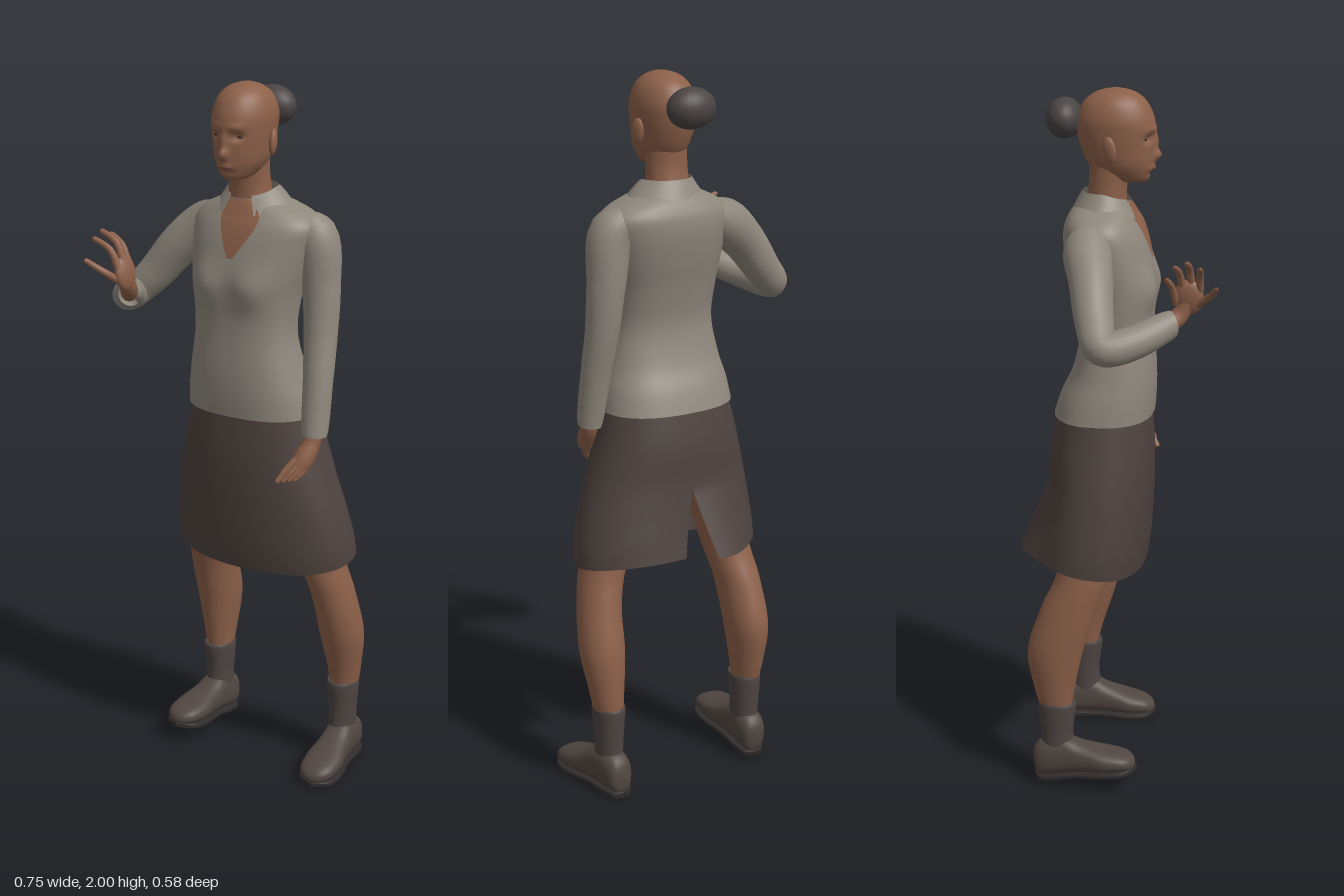
import * as THREE from 'three';

const paint = (name, color, side = THREE.FrontSide) => {
  const m = new THREE.MeshStandardMaterial({ color, side });
  m.name = name;
  return m;
};

// Catmull-Rom blend through rows of numbers
function smooth(rows, steps) {
  const out = [], last = rows.length - 1;
  for (let i = 0; i <= last * steps; i++) {
    const k = Math.min(Math.floor(i / steps), last - 1), t = i / steps - k;
    const [a, b, c, d] = [-1, 0, 1, 2].map(o => rows[Math.min(last, Math.max(0, k + o))]);
    out.push(b.map((_, n) => b[n] + 0.5 * t * (c[n] - a[n]
      + t * (2 * a[n] - 5 * b[n] + 4 * c[n] - d[n] + t * (3 * (b[n] - c[n]) + d[n] - a[n])))));
  }
  return out;
}

// Skin over rising oval sections [y, centreX, radiusX, frontZ, backZ].
// range(y) gives start and end angle for open pieces; warp moves each point.
function loft(rows, { seg = 40, power = 2, range, warp } = {}) {
  const pos = [], index = [], cols = range ? seg + 1 : seg;
  const bend = v => Math.sign(v) * Math.pow(Math.abs(v), 2 / power);
  rows.forEach(([y, cx, rx, zf, zb], i) => {
    const [a0, a1] = range ? range(y) : [0, Math.PI * 2];
    for (let j = 0; j < cols; j++) {
      const a = a0 + (a1 - a0) * j / seg;
      const p = new THREE.Vector3(cx + rx * bend(Math.cos(a)), y,
        (zf + zb) / 2 + (zf - zb) / 2 * bend(Math.sin(a)));
      if (warp) warp(p, a);
      pos.push(p.x, p.y, p.z);
      if (i && j < seg) {
        const n = (j + 1) % cols, d = (i - 1) * cols, u = i * cols;
        index.push(d + j, u + j, d + n, d + n, u + j, u + n);
      }
    }
  });
  const g = new THREE.BufferGeometry();
  g.setAttribute('position', new THREE.Float32BufferAttribute(pos, 3));
  g.setIndex(index);
  g.computeVertexNormals();
  return g;
}

// Round limb through points [x, y, z, radius]
function limb(points, seg = 16, steps = 6) {
  const curve = new THREE.CatmullRomCurve3(points.map(([x, y, z]) => new THREE.Vector3(x, y, z)));
  curve.getPointAt = curve.getPoint;
  curve.getTangentAt = curve.getTangent;
  const n = (points.length - 1) * steps, radii = smooth(points.map(p => [p[3]]), steps);
  const g = new THREE.TubeGeometry(curve, n, 1, seg, false), pos = g.attributes.position;
  const v = new THREE.Vector3();
  for (let i = 0; i <= n; i++) {
    const c = curve.getPoint(i / n);
    for (let j = 0; j <= seg; j++) {
      const k = i * (seg + 1) + j;
      v.fromBufferAttribute(pos, k).sub(c).multiplyScalar(Math.max(0.0005, radii[i][0])).add(c);
      pos.setXYZ(k, v.x, v.y, v.z);
    }
  }
  return g;
}

const bell = v => Math.exp(-v * v);
const bump = (x, y, cx, cy, sx, sy) => bell((x - cx) / sx) * bell((y - cy) / sy);

export function createModel() {
  const model = new THREE.Group();
  const skin = paint('skin', 0x8c6049), shirt = paint('shirt cloth', 0x8e877c, THREE.DoubleSide);
  const skirt = paint('skirt cloth', 0x4d423e, THREE.DoubleSide), hair = paint('hair', 0x4a4443);
  const sock = paint('sock', 0x4d4542), shoe = paint('shoe leather', 0x514741);
  const sole = paint('sole', 0x322d2c), lip = paint('lips', 0x774c3e), eye = paint('eye', 0x3a2b25);
  const add = (name, geometry, material, parent = model) => {
    const m = new THREE.Mesh(geometry, material);
    m.name = name;
    parent.add(m);
    return m;
  };
  const ball = (name, material, [x, y, z], [a, b, c]) => {
    const m = add(name, new THREE.SphereGeometry(1, 24, 16), material);
    m.position.set(x, y, z);
    m.scale.set(a, b, c);
    return m;
  };

  // Head, with the face shaped by soft bumps
  const mid = 0.038;
  add('head', loft(smooth([
    [1.744, mid, 0.001, 0.045, 0.043], [1.75, mid, 0.032, 0.07, -0.02], [1.77, mid, 0.053, 0.08, -0.07],
    [1.80, mid, 0.069, 0.086, -0.095], [1.84, mid, 0.077, 0.089, -0.112], [1.88, mid, 0.082, 0.092, -0.122],
    [1.92, mid, 0.083, 0.089, -0.123], [1.96, mid, 0.071, 0.071, -0.106], [1.985, mid, 0.049, 0.044, -0.078],
    [1.997, mid, 0.022, 0.012, -0.045], [2.0, mid, 0.001, -0.014, -0.016]], 7), {
    seg: 80,
    warp: (p, a) => {
      if (Math.sin(a) <= 0.2) return;
      const x = Math.abs(p.x - mid), y = p.y;
      p.z += 0.02 * bump(x, y, 0, 1.82, 0.013, 0.016) + 0.01 * bump(x, y, 0, 1.855, 0.01, 0.025)
        - 0.012 * bump(x, y, 0.033, 1.868, 0.017, 0.012) + 0.005 * bump(x, y, 0.03, 1.893, 0.025, 0.01)
        + 0.008 * bump(x, y, 0, 1.787, 0.021, 0.01) - 0.004 * bump(x, y, 0, 1.772, 0.02, 0.006);
    },
  }), skin);
  for (const s of [-1, 1]) {
    ball('ear', skin, [mid + s * 0.083, 1.845, -0.025], [0.011, 0.036, 0.02]).rotation.set(-0.15, s * 0.35, 0);
    ball('eye', eye, [mid + s * 0.033, 1.867, 0.067], [0.013, 0.005, 0.005]);
  }
  ball('lips', lip, [mid, 1.786, 0.088], [0.02, 0.006, 0.0055]);
  ball('hairBun', hair, [0.036, 1.917, -0.157], [0.071, 0.056, 0.051]);
  add('neck', loft(smooth([[1.62, 0.045, 0.075, 0.02, -0.11], [1.69, 0.04, 0.062, 0.014, -0.1],
    [1.75, 0.038, 0.058, 0.016, -0.09], [1.81, 0.038, 0.058, 0.03, -0.09]], 5)), skin);

  // Shirt body, open neckline and collar
  const chest = (p, a) => {
    if (Math.sin(a) > 0) p.z += 0.02 * bump(Math.abs(p.x - 0.045), p.y, 0.075, 1.455, 0.06, 0.055);
  };
  const body = smooth([
    [1.09, 0.055, 0.194, 0.092, -0.19], [1.15, 0.052, 0.184, 0.096, -0.17], [1.22, 0.048, 0.166, 0.096, -0.137],
    [1.32, 0.045, 0.148, 0.09, -0.117], [1.42, 0.045, 0.155, 0.088, -0.13], [1.50, 0.05, 0.17, 0.086, -0.148],
    [1.57, 0.055, 0.183, 0.072, -0.16], [1.62, 0.06, 0.188, 0.054, -0.16], [1.65, 0.058, 0.165, 0.038, -0.15],
    [1.672, 0.052, 0.12, 0.027, -0.135], [1.69, 0.045, 0.07, 0.018, -0.115]], 6);
  add('shirtBody', loft(body, { seg: 64, power: 2.4, warp: chest }), shirt);
  const neckline = body.filter(r => r[0] > 1.53).map(([y, cx, rx, zf, zb]) => [y, cx, rx, zf + 0.004, zb]);
  add('necklineSkin', loft(neckline, {
    seg: 10, power: 2.4, warp: chest,
    range: y => { const h = 0.01 + (y - 1.53) * 2.4; return [Math.PI / 2 - h, Math.PI / 2 + h]; },
  }), skin);
  add('collar', loft([[1.672, 0.052, 0.112, 0.05, -0.137], [1.7, 0.05, 0.09, 0.035, -0.122],
    [1.72, 0.046, 0.073, 0.022, -0.11]], {
    range: () => [Math.PI / 2 + 0.45, Math.PI * 2.5 - 0.45],
    warp: (p, a) => { p.y -= 0.022 * Math.max(0, Math.sin(a)); },
  }), shirt);

  // Sleeves: left hangs, right is bent forward
  add('leftSleeve', limb([[0.17, 1.62, -0.07, 0.035], [0.228, 1.595, -0.07, 0.061], [0.25, 1.45, -0.072, 0.053],
    [0.257, 1.32, -0.06, 0.047], [0.265, 1.2, -0.037, 0.042], [0.27, 1.045, -0.012, 0.035],
    [0.27, 1.043, -0.012, 0.001]], 24), shirt);
  add('rightSleeve', limb([[-0.05, 1.615, -0.075, 0.04], [-0.12, 1.585, -0.075, 0.065], [-0.2, 1.52, -0.055, 0.06],
    [-0.28, 1.425, -0.035, 0.052], [-0.33, 1.372, -0.01, 0.046], [-0.305, 1.38, 0.06, 0.046],
    [-0.22, 1.418, 0.165, 0.035], [-0.219, 1.418, 0.167, 0.001]], 24), shirt);

  // Hands: palm plus tapered fingers [root, knuckle, tip]
  const finger = (name, root, knuckle, tip) =>
    add(name, limb([[...root, 0.011], [...knuckle, 0.0095], [...tip, 0.007],
      [...tip.map((v, i) => v + (v - knuckle[i]) * 0.06), 0.0005]], 10, 4), skin);
  add('rightWrist', limb([[-0.235, 1.41, 0.15, 0.024], [-0.212, 1.44, 0.185, 0.024], [-0.205, 1.49, 0.21, 0.015]]), skin);
  ball('rightPalm', skin, [-0.207, 1.487, 0.207], [0.019, 0.05, 0.04]).rotation.z = 0.15;
  [[0.236, 1.58, 0.242, -0.285], [0.214, 1.595, 0.207, -0.285], [0.192, 1.582, 0.175, -0.277],
    [0.175, 1.545, 0.152, -0.26]].forEach(([z0, y, z, x]) =>
    finger('rightFinger', [-0.208, y - 0.075, z0], [-0.232, y - 0.025, (z + z0) / 2], [x, y, z]));
  finger('rightThumb', [-0.208, 1.468, 0.23], [-0.235, 1.5, 0.268], [-0.282, 1.528, 0.285]);

  add('leftPalm', limb([[0.271, 1.07, -0.014, 0.022], [0.269, 1.03, -0.002, 0.025], [0.26, 0.99, 0.022, 0.03],
    [0.25, 0.965, 0.035, 0.022], [0.245, 0.955, 0.04, 0.001]]), skin);
  for (let i = 0; i < 4; i++) {
    const s = i - 1.5;
    finger('leftFinger', [0.254 + s * 0.01, 0.975 - s * 0.002, 0.032 - s * 0.011],
      [0.243 + s * 0.012, 0.95, 0.05 - s * 0.013], [0.227 + s * 0.011, 0.927, 0.066 - s * 0.013]);
  }
  finger('leftThumb', [0.255, 1.0, 0.03], [0.238, 0.975, 0.055], [0.222, 0.95, 0.076]);

  // Skirt with a flared slit at the back
  add('skirt', loft(smooth([
    [0.635, 0.075, 0.278, 0.07, -0.236], [0.7, 0.073, 0.275, 0.079, -0.228], [0.8, 0.067, 0.259, 0.086, -0.216],
    [0.9, 0.06, 0.237, 0.09, -0.207], [1.0, 0.055, 0.211, 0.09, -0.2], [1.12, 0.055, 0.184, 0.08, -0.175]], 6), {
    seg: 72, power: 2.25,
    range: () => [-Math.PI / 2, Math.PI * 1.5],
    warp: (p, a) => {
      const left = a < Math.PI / 2, t = Math.min(1, Math.max(0, (0.87 - p.y) / 0.235));
      const w = t * bell((left ? a + Math.PI / 2 : Math.PI * 1.5 - a) / 0.6);
      const low = Math.min(1, Math.max(0, (0.9 - p.y) / 0.265));
      p.x += w * (left ? 0.025 : -0.052);
      p.z -= w * (left ? 0.004 : 0.055);
      p.y += 0.027 * low * (1 - Math.sin(a));
    },
  }), skirt);

  // Legs, socks and shoes; leg rows are [y, x, radiusX, frontZ, backZ]
  const sides = [
    { name: 'left', leg: [[0.1, 0.3, 0.036, -0.11, -0.19], [0.22, 0.302, 0.039, -0.107, -0.195],
      [0.3, 0.305, 0.048, -0.093, -0.198], [0.42, 0.306, 0.063, -0.055, -0.193], [0.55, 0.295, 0.061, -0.02, -0.162],
      [0.68, 0.262, 0.066, 0.008, -0.14], [0.95, 0.19, 0.085, 0.03, -0.14]],
      heel: [0.297, 0, -0.225], turn: 0.09, pitch: 0, ankle: [0.301, -0.148] },
    { name: 'right', leg: [[0.1, -0.147, 0.034, -0.125, -0.205], [0.22, -0.147, 0.036, -0.125, -0.212],
      [0.3, -0.148, 0.045, -0.115, -0.232], [0.42, -0.147, 0.059, -0.09, -0.25], [0.55, -0.14, 0.062, -0.05, -0.21],
      [0.68, -0.118, 0.07, -0.01, -0.16], [0.95, -0.07, 0.085, 0.03, -0.14]],
      heel: [-0.147, 0.008, -0.228], turn: -0.03, pitch: -0.15, ankle: [-0.147, -0.167] },
  ];
  for (const { name, leg, heel, turn, pitch, ankle: [x, z] } of sides) {
    add(name + 'Leg', loft(smooth(leg, 6)), skin);
    add(name + 'Sock', loft(smooth([[0.06, x, 0.037, z + 0.055, z - 0.045], [0.16, x, 0.039, z + 0.046, z - 0.048],
      [0.252, x, 0.045, z + 0.056, z - 0.054], [0.254, x, 0.036, z + 0.04, z - 0.04]], 5)), sock);
    const foot = new THREE.Group();
    foot.name = name + 'Shoe';
    foot.position.set(...heel);
    foot.rotation.set(pitch, turn, 0, 'YXZ');
    model.add(foot);
    // Sections run from heel to toe: [forward, x, half width, -bottom, -top]
    add('shoeUpper', loft(smooth([[0, 0, 0.002, -0.05, -0.055], [0.008, 0, 0.03, -0.014, -0.1],
      [0.04, 0, 0.041, -0.012, -0.125], [0.1, 0, 0.043, -0.012, -0.128], [0.15, 0, 0.047, -0.012, -0.102],
      [0.21, 0, 0.056, -0.012, -0.078], [0.265, 0, 0.048, -0.012, -0.06], [0.29, 0, 0.026, -0.014, -0.044],
      [0.297, 0, 0.002, -0.025, -0.028]], 5), { seg: 28, power: 2.5 }).rotateX(Math.PI / 2), shoe, foot);
    add('shoeSole', loft(smooth([[-0.003, 0, 0.002, 0, -0.018], [0.012, 0, 0.034, 0, -0.02],
      [0.06, 0, 0.042, 0, -0.02], [0.12, 0, 0.044, -0.004, -0.02], [0.21, 0, 0.058, 0, -0.019],
      [0.27, 0, 0.048, 0, -0.019], [0.3, 0, 0.002, -0.004, -0.018]], 5), { seg: 28, power: 5 })
      .rotateX(Math.PI / 2), sole, foot);
  }
  return model;
}
